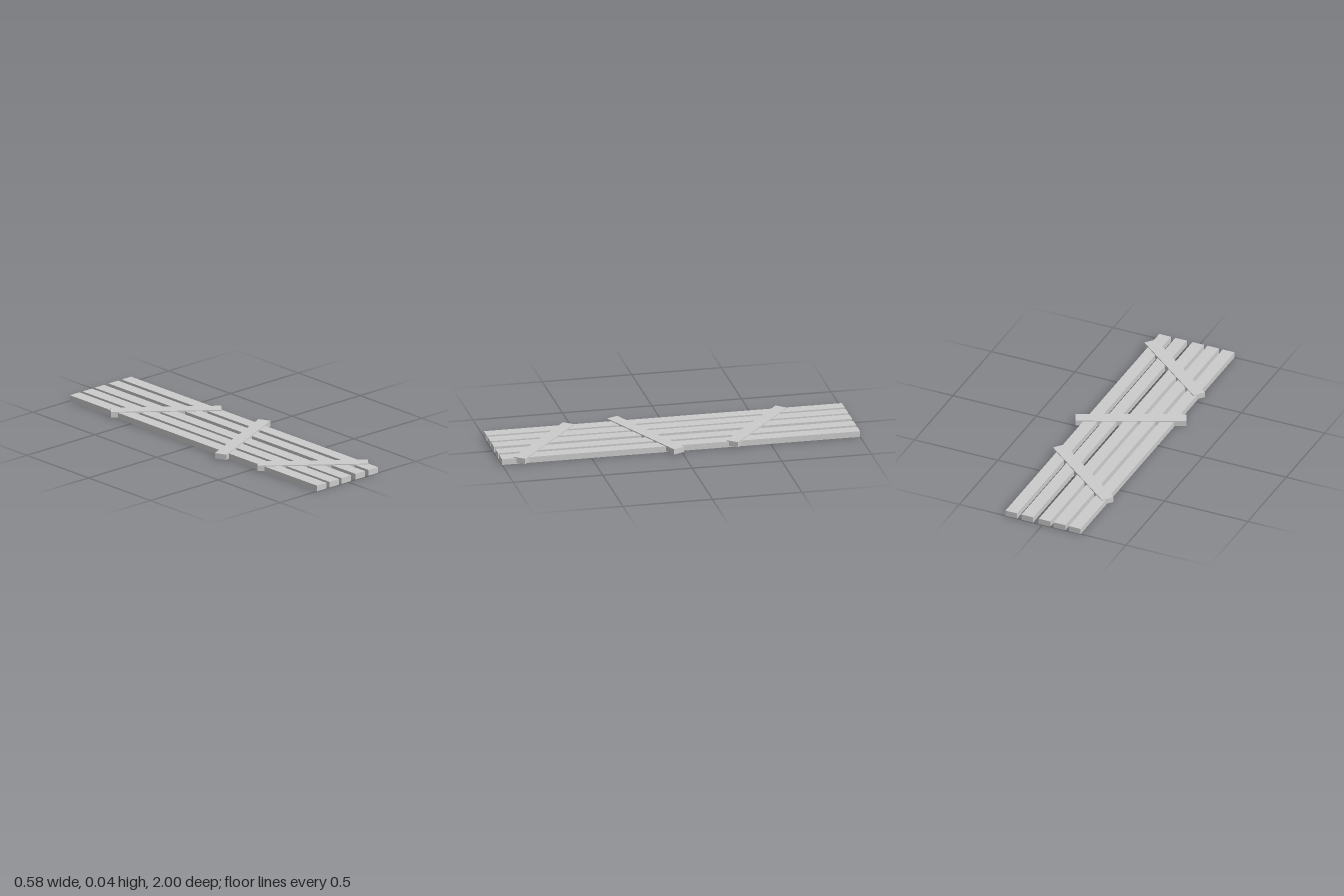
import * as THREE from 'three';

export function createModel() {
  const model = new THREE.Group();
  model.name = 'plankPanel';
  const material = new THREE.MeshStandardMaterial({ color: 0xcccccc, flatShading: true });

  const addBoard = (name, size, position, yaw = 0) => {
    const board = new THREE.Mesh(new THREE.BoxGeometry(...size), material);
    board.name = name;
    board.position.set(...position);
    board.rotation.y = THREE.MathUtils.degToRad(yaw);
    model.add(board);
  };

  // Five long planks with slightly uneven gaps
  [-0.193, -0.101, -0.011, 0.092, 0.188].forEach((x, i) =>
    addBoard(`plank${i + 1}`, [0.07, 0.033, 2], [x, 0.0165, 0]));

  // Three slanted braces, sunk into the planks and standing just proud of them
  const braces = [
    ['backBrace', -0.472, -39],
    ['middleBrace', 0.148, 24.4],
    ['frontBrace', 0.715, -39],
  ];
  for (const [name, z, yaw] of braces)
    addBoard(name, [0.605, 0.031, 0.07], [0, 0.0225, z], yaw);

  return model;
}
